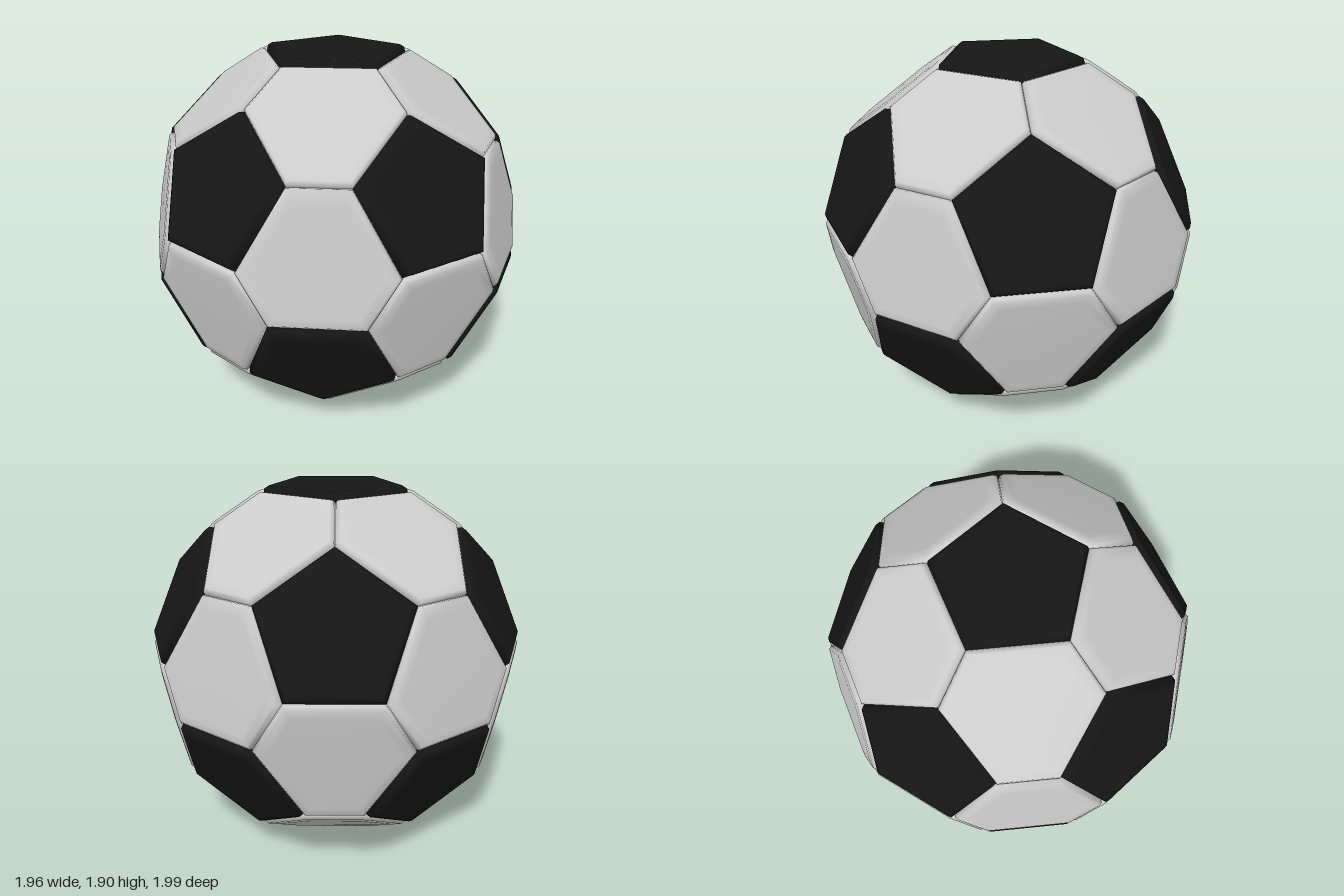
import * as THREE from 'three';

const EDGE = 1.236;      // edge of the icosahedron that is truncated
const CUT = 0.379;       // fraction of the edge cut off at each corner
const GROOVE = 0.97;     // how far the seams sink towards the centre
const HEIGHT = 0.95;     // centre of the ball above the ground

// Panel cross-sections from seam to middle: [scale of outline, distance from ball centre]
const PENTAGON_RINGS = [[0.95, 0.935], [0.89, 0.949], [0.8, 0.95]];
const HEXAGON_RINGS = [[0.97, 0.925], [0.93, 0.941], [0.8, 0.945]];

// Icosahedron corners with one at the top and one at the bottom
function icosahedronCorners() {
  const r = EDGE * 0.95106;
  const corners = [new THREE.Vector3(0, r, 0), new THREE.Vector3(0, -r, 0)];
  for (let i = 0; i < 10; i++) {
    const a = i * Math.PI / 5;
    const y = i % 2 ? -0.44721 : 0.44721;
    corners.push(new THREE.Vector3(Math.cos(a) * 0.89443, y, Math.sin(a) * 0.89443).multiplyScalar(r));
  }
  return corners;
}

// Padded panel: a sunken seam, a rounded shoulder and a nearly flat middle
function panelGeometry(outline, rings, middle) {
  const n = outline.length;
  const centre = outline.reduce((s, p) => s.add(p), new THREE.Vector3()).divideScalar(n);
  const normal = centre.clone().normalize();
  const u = outline[0].clone().sub(centre).normalize();
  const v = normal.clone().cross(u);
  const angle = p => {
    const d = p.clone().sub(centre);
    return Math.atan2(d.dot(v), d.dot(u));
  };
  const sorted = [...outline].sort((a, b) => angle(a) - angle(b));

  const points = sorted.map(p => p.clone().multiplyScalar(GROOVE));
  for (const [scale, distance] of rings) {
    for (const p of sorted) {
      points.push(p.clone().sub(centre).multiplyScalar(scale).addScaledVector(normal, distance));
    }
  }
  points.push(normal.clone().multiplyScalar(middle));

  const index = [];
  for (let k = 0; k <= rings.length; k++) {
    for (let i = 0; i < n; i++) {
      const a = k * n + i, b = k * n + (i + 1) % n;
      if (k === rings.length) index.push(a, b, points.length - 1);
      else index.push(a, b, b + n, a, b + n, a + n);
    }
  }
  const geometry = new THREE.BufferGeometry().setFromPoints(points);
  geometry.setIndex(index);
  geometry.computeVertexNormals();
  return geometry;
}

export function createModel() {
  const ball = new THREE.Group();
  ball.name = 'football';
  const white = new THREE.MeshStandardMaterial({ color: 0xcccccc });
  const black = new THREE.MeshStandardMaterial({ color: 0x161616 });

  const corners = icosahedronCorners();
  const joined = (i, j) => i !== j && corners[i].distanceTo(corners[j]) < EDGE * 1.1;
  const cut = (i, j) => corners[i].clone().lerp(corners[j], CUT);

  const addPanel = (name, geometry, material) => {
    const mesh = new THREE.Mesh(geometry, material);
    mesh.name = name;
    mesh.position.y = HEIGHT;
    ball.add(mesh);
  };

  for (let i = 0; i < 12; i++) {
    // Black pentagon at each corner
    const neighbours = corners.map((_, j) => j).filter(j => joined(i, j));
    addPanel('pentagonPanel', panelGeometry(neighbours.map(j => cut(i, j)), PENTAGON_RINGS, 0.95), black);

    // White hexagon on each triangular face
    for (let j = i + 1; j < 12; j++) {
      for (let k = j + 1; k < 12; k++) {
        if (!joined(i, j) || !joined(j, k) || !joined(i, k)) continue;
        const outline = [cut(i, j), cut(j, i), cut(j, k), cut(k, j), cut(k, i), cut(i, k)];
        addPanel('hexagonPanel', panelGeometry(outline, HEXAGON_RINGS, 0.947), white);
      }
    }
  }
  return ball;
}
